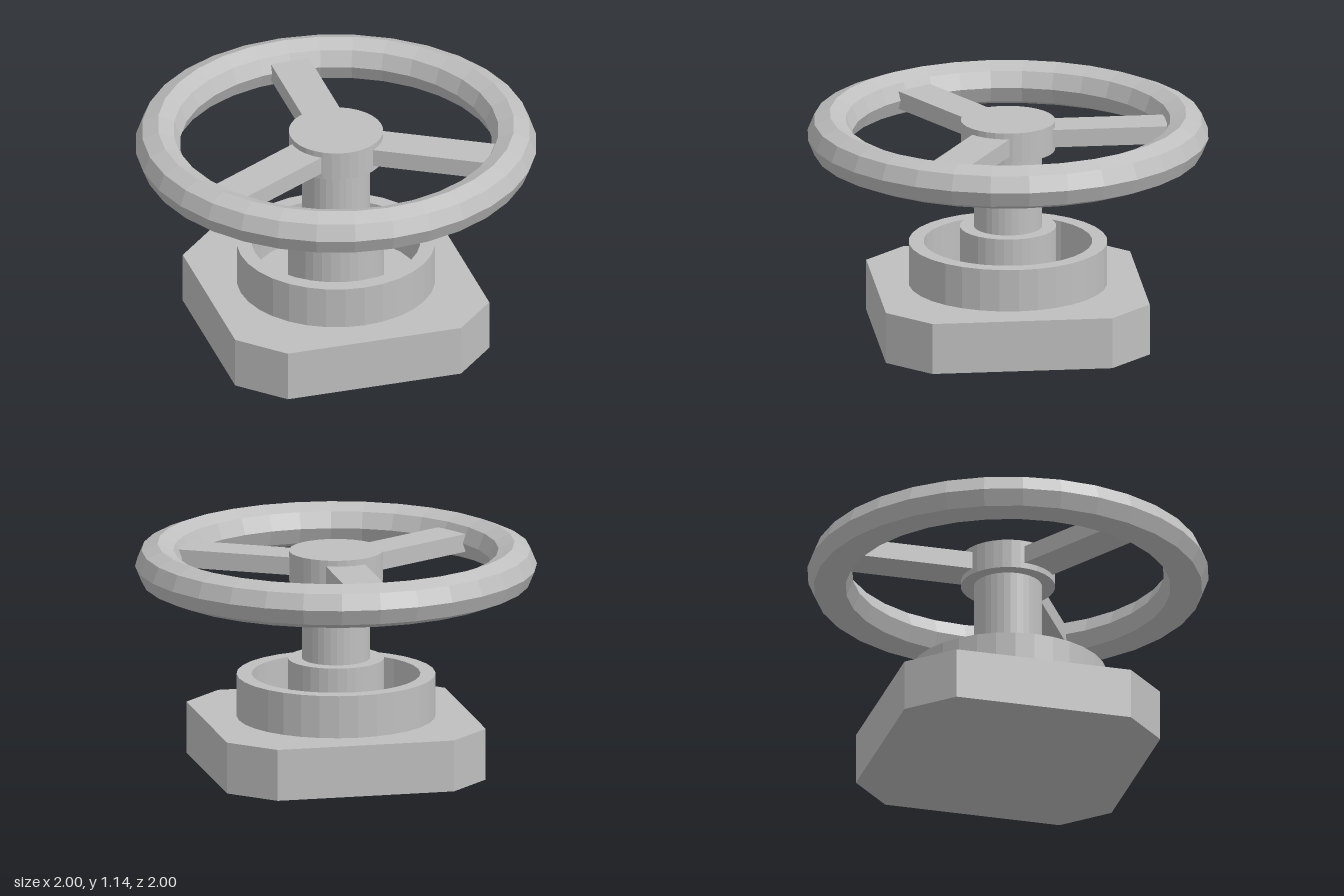
import * as THREE from 'three';

export function createModel() {
  const group = new THREE.Group();
  const metal = new THREE.MeshStandardMaterial({ color: 0xbfbfbf });
  metal.name = 'grey metal';

  // Adds a part with faceted normals
  const add = (name, geometry) => {
    const faceted = geometry.index ? geometry.toNonIndexed() : geometry;
    faceted.computeVertexNormals();
    const mesh = new THREE.Mesh(faceted, metal);
    mesh.name = name;
    group.add(mesh);
    return mesh;
  };
  const cylinder = (name, radius, bottom, top) => {
    const mesh = add(name, new THREE.CylinderGeometry(radius, radius, top - bottom, 32));
    mesh.position.y = (bottom + top) / 2;
  };

  // Square base plate with cut corners
  const a = 0.66, b = 0.45;
  const outline = new THREE.Shape([
    [a, -b], [a, b], [b, a], [-b, a], [-a, b], [-a, -b], [-b, -a], [b, -a],
  ].map(([x, y]) => new THREE.Vector2(x, y)));
  add('basePlate', new THREE.ExtrudeGeometry(outline, { depth: 0.26, bevelEnabled: false })
    .rotateX(-Math.PI / 2));

  // Open collar standing on the base
  const section = [[0.42, 0.255], [0.495, 0.255], [0.495, 0.475], [0.42, 0.475], [0.42, 0.255]];
  add('collar', new THREE.LatheGeometry(section.map(([r, y]) => new THREE.Vector2(r, y)), 32));

  // Stepped stem and hub
  cylinder('stemSleeve', 0.24, 0.25, 0.555);
  cylinder('shaft', 0.17, 0.54, 0.97);
  cylinder('hub', 0.235, 0.955, 1.105);

  // Hand wheel: octagonal rim and three spokes
  const wheelY = 1.03;
  add('wheelRim', new THREE.TorusGeometry(0.888, 0.112, 8, 32).rotateX(Math.PI / 2))
    .position.y = wheelY;
  for (let i = 0; i < 3; i++) {
    const spoke = add('spoke', new THREE.BoxGeometry(0.2, 0.09, 0.64).translate(0, 0, -0.47));
    spoke.position.y = wheelY;
    spoke.rotation.y = (i * Math.PI * 2) / 3;
  }
  return group;
}
